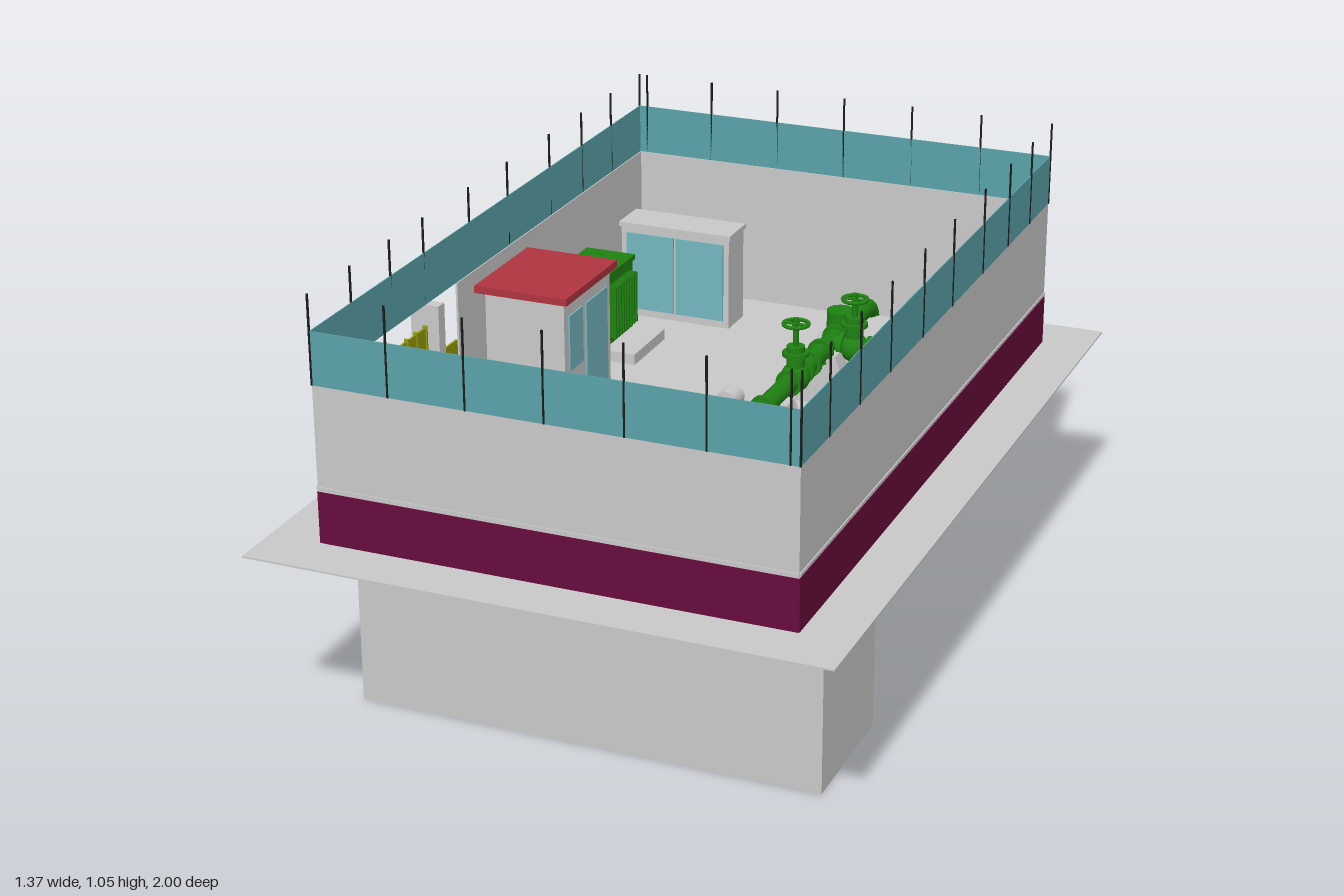
import * as THREE from 'three';

const mat = (name, color, double) => {
  const m = new THREE.MeshStandardMaterial({ color });
  m.name = name;
  if (double) m.side = THREE.DoubleSide;
  return m;
};

export function createModel() {
  const root = new THREE.Group();
  root.name = 'pumpStation';
  const gray = mat('concreteGray', 0xc9c9c9, true);
  const maroon = mat('plinthMaroon', 0x660c3c);
  const teal = mat('fenceTeal', 0x5aa3a8, true);
  const glass = mat('doorTeal', 0x74b8bf);
  const green = mat('equipmentGreen', 0x1f8212);
  const olive = mat('gateOlive', 0x949c08);
  const red = mat('roofRed', 0xb03440);
  const black = mat('postBlack', 0x1c1c1c);

  const F = 0.467; // floor level
  const add = (name, geo, m, parent = root) => {
    const mesh = new THREE.Mesh(geo, m);
    mesh.name = name;
    parent.add(mesh);
    return mesh;
  };
  // box given by its limits
  const box = (name, m, x0, x1, y0, y1, z0, z1) =>
    add(name, new THREE.BoxGeometry(x1 - x0, y1 - y0, z1 - z0), m)
      .position.set((x0 + x1) / 2, (y0 + y1) / 2, (z0 + z1) / 2);
  // cylinder along an axis, centred on a point
  const cyl = (name, m, axis, r, len, x, y, z, sides = 20) => {
    const g = new THREE.CylinderGeometry(r, r, len, sides);
    if (axis === 'x') g.rotateZ(Math.PI / 2);
    if (axis === 'z') g.rotateX(Math.PI / 2);
    const mesh = add(name, g, m);
    mesh.position.set(x, y, z);
    return mesh;
  };
  // prism with its outline in x/y, running along z
  const prism = (name, m, pts, z0, z1) => {
    const s = new THREE.Shape(pts.map(p => new THREE.Vector2(p[0], p[1])));
    add(name, new THREE.ExtrudeGeometry(s, { depth: z1 - z0, bevelEnabled: false }), m).position.z = z0;
  };

  // ground slab and buried tank
  box('ground', gray, -0.685, 0.685, F - 0.004, F, -1, 1);
  box('buriedTank', gray, -0.562, 0.56, 0, F - 0.004, 0.39, 0.72);

  // perimeter walls: gray panel, maroon plinth outside, thin ledge
  const W = 0.56, L = 0.875, T = 0.005;
  for (const s of [-1, 1]) {
    const z = s * (L - T / 2);
    box('endWall', gray, -W, W, F, 0.84, z - T / 2, z + T / 2);
    box('endPlinth', maroon, -W, W, F, 0.59, s * (L + 0.001) - 0.001, s * (L + 0.001) + 0.001);
    box('endLedge', gray, -W, W, 0.595, 0.602, s * (L + 0.001) - 0.002, s * (L + 0.001) + 0.002);
  }
  const sideWall = (s, z0, z1) => {
    const x = s * (W - T / 2), p = s * (W + 0.001);
    box('sideWall', gray, x - T / 2, x + T / 2, F, 0.84, z0, z1);
    box('sidePlinth', maroon, p - 0.001, p + 0.001, F, 0.59, z0, z1);
    box('sideLedge', gray, p - 0.002, p + 0.002, 0.595, 0.602, z0, z1);
  };
  sideWall(1, -L, L);
  sideWall(-1, -L, 0.2);
  sideWall(-1, 0.76, L);

  // fence band and posts
  const band = (x, z, w, d) => box('fencePanel', teal, x - w / 2, x + w / 2, 0.84, 0.965, z - d / 2, z + d / 2);
  for (const s of [-1, 1]) {
    band(0, s * (L - 0.001), 2 * W, 0.002);
    band(s * (W - 0.001), 0, 0.002, 2 * L);
  }
  const post = (x, z) => box('fencePost', black, x - 0.002, x + 0.002, 0.84, 1.05, z - 0.002, z + 0.002);
  for (let i = 0; i < 7; i++) {
    post(-W + i * 0.183, L);
    post(W - i * 0.183, -L);
  }
  for (const z of [0.875, 0.71, 0.525, 0.33, 0.11, -0.1, -0.33, -0.53, -0.71]) post(W, z);
  for (const z of [0.69, 0.51, 0.35, 0.12, -0.085, -0.32, -0.51, -0.69, -0.875]) post(-W, z);

  // gate pillars, double gate and small door
  for (const z of [0.325, 0.73]) {
    box('gatePillar', gray, -0.597, -0.525, 0.59, 0.84, z, z + 0.03);
    box('pillarBase', maroon, -0.598, -0.524, F, 0.59, z - 0.001, z + 0.031);
  }
  for (const z of [0.356, 0.544]) {
    box('gateLeaf', olive, -0.562, -0.557, F + 0.01, 0.785, z, z + 0.185);
    for (let i = 0; i <= 4; i++)
      box('gateRib', olive, -0.565, -0.554, F + 0.01, 0.79, z + i * 0.045, z + i * 0.045 + 0.005);
  }
  box('smallDoor', olive, -0.562, -0.557, F + 0.01, 0.7, 0.205, 0.322);

  // guard booth
  box('boothWalls', gray, -0.53, -0.325, F, 0.79, -0.152, 0.108);
  box('boothRoof', red, -0.55, -0.31, 0.79, 0.808, -0.165, 0.125);
  box('boothDoor', glass, -0.325, -0.321, F, 0.75, -0.13, -0.01);
  box('boothWindow', glass, -0.325, -0.321, 0.61, 0.75, 0.01, 0.085);

  // cabinet with two doors
  box('cabinetBody', gray, -0.515, -0.215, F, 0.71, -0.75, -0.65);
  box('cabinetLid', gray, -0.52, -0.21, 0.71, 0.722, -0.755, -0.645);
  for (const x of [-0.5, -0.362]) box('cabinetDoor', glass, x, x + 0.132, F + 0.02, 0.695, -0.65, -0.646);

  // transformer on its slab, passing through the wall
  box('transformerSlab', gray, -0.685, -0.34, F, 0.495, -0.52, -0.33);
  box('transformerBody', green, -0.59, -0.425, 0.495, 0.675, -0.515, -0.335);
  box('transformerLid', green, -0.595, -0.42, 0.675, 0.688, -0.52, -0.33);
  for (let i = 0; i < 9; i++) {
    const z = -0.485 + i * 0.016;
    box('transformerFin', green, -0.425, -0.4, 0.52, 0.655, z - 0.003, z + 0.003);
  }
  box('meterBox', gray, -0.6, -0.56, 0.61, 0.71, -0.27, -0.19);
  box('meterDial', black, -0.603, -0.6, 0.665, 0.69, -0.245, -0.215);

  // main pipeline with elbows down at both ends
  const X = 0.175, Y = 0.6, R = 0.024;
  const path = new THREE.CurvePath();
  const v = (y, z) => new THREE.Vector3(X, y, z);
  path.add(new THREE.LineCurve3(v(0.445, -0.64), v(Y - 0.05, -0.64)));
  path.add(new THREE.QuadraticBezierCurve3(v(Y - 0.05, -0.64), v(Y, -0.64), v(Y, -0.59)));
  path.add(new THREE.LineCurve3(v(Y, -0.59), v(Y, 0.49)));
  path.add(new THREE.QuadraticBezierCurve3(v(Y, 0.49), v(Y, 0.54), v(Y - 0.05, 0.54)));
  path.add(new THREE.LineCurve3(v(Y - 0.05, 0.54), v(F, 0.54)));
  add('mainPipe', new THREE.TubeGeometry(path, 120, R, 16), green);
  const tip = add('inletCone', new THREE.ConeGeometry(0.036, 0.035, 16), green);
  tip.rotation.x = Math.PI;
  tip.position.set(X, 0.449, -0.64);
  for (const z of [-0.46, -0.385, -0.28, -0.2, -0.15, -0.07, 0.1, 0.2, 0.26, 0.35, 0.46])
    cyl('flange', green, 'z', 0.033, 0.012, X, Y, z);

  // branch pipe with maroon valve and end riser
  cyl('branchPipe', green, 'x', 0.022, 0.27, 0.31, Y, -0.34);
  cyl('branchValve', maroon, 'x', 0.034, 0.08, 0.33, Y, -0.34);
  for (const x of [0.21, 0.28, 0.38, 0.41]) cyl('branchFlange', green, 'x', 0.033, 0.012, x, Y, -0.34);
  cyl('branchDrop', green, 'y', 0.026, Y - F + 0.02, 0.44, (Y + F + 0.02) / 2, -0.34);

  // gate valves with handwheels
  const valve = (x, z, top) => {
    add('valveBody', new THREE.SphereGeometry(0.036, 18, 12), green).position.set(x, Y, z);
    cyl('valveBonnet', green, 'y', 0.022, 0.07, x, Y + 0.045, z);
    cyl('valveCollar', green, 'y', 0.032, 0.01, x, Y + 0.06, z);
    cyl('valveStem', green, 'y', 0.007, top - Y, x, (top + Y) / 2, z, 10);
    const wheel = add('handwheel', new THREE.TorusGeometry(0.03, 0.005, 8, 20), green);
    wheel.rotation.x = Math.PI / 2;
    wheel.position.set(x, top - 0.015, z);
    cyl('wheelSpoke', green, 'x', 0.004, 0.06, x, top - 0.015, z, 8);
    cyl('wheelSpoke', green, 'z', 0.004, 0.06, x, top - 0.015, z, 8);
  };
  valve(X, -0.11, 0.75);
  valve(0.24, -0.34, 0.74);
  cyl('checkValve', green, 'y', 0.034, 0.08, X, Y + 0.02, -0.42);

  // gray flow meter and its sensor post
  cyl('flowMeter', gray, 'z', 0.034, 0.07, X, Y, 0.305);
  cyl('meterNeck', gray, 'y', 0.012, 0.08, X, 0.66, 0.305);
  cyl('meterHead', gray, 'z', 0.026, 0.05, X, 0.705, 0.305);
  box('sensorPost', gray, 0.108, 0.124, 0.385, 0.6, 0.235, 0.255);
  cyl('sensorArm', gray, 'x', 0.005, 0.06, 0.145, 0.59, 0.245, 8);

  // tapered pipe supports
  for (const z of [-0.3, 0.025, 0.382])
    prism('pipeSupport', gray, [[0.095, 0.44], [0.255, 0.44], [0.255, F + 0.01], [0.215, Y - 0.005], [0.135, Y - 0.005], [0.095, F + 0.01]], z - 0.026, z + 0.026);

  // inlet hopper block, narrowing upward
  const hopper = new THREE.BoxGeometry(0.215, 0.105, 0.195);
  const hp = hopper.attributes.position;
  for (let i = 0; i < hp.count; i++)
    if (hp.getY(i) > 0) { hp.setX(i, hp.getX(i) * 0.75); hp.setZ(i, hp.getZ(i) * 0.8 - 0.01); }
  hopper.computeVertexNormals();
  add('inletBlock', hopper, gray).position.set(0.178, F + 0.052, -0.547);

  // outlet: green chamber between two sloped side blocks
  box('outletChamber', green, 0.095, 0.26, F, 0.55, 0.48, 0.612);
  box('chamberLid', green, 0.09, 0.265, 0.543, 0.553, 0.475, 0.617);
  for (const s of [-1, 1]) {
    const x = d => 0.18 + s * d;
    const pts = [[x(0.085), F], [x(0.143), F], [x(0.125), 0.595], [x(0.085), 0.595]];
    prism('outletSideBlock', gray, s > 0 ? pts : pts.reverse(), 0.45, 0.64);
  }
  return root;
}
